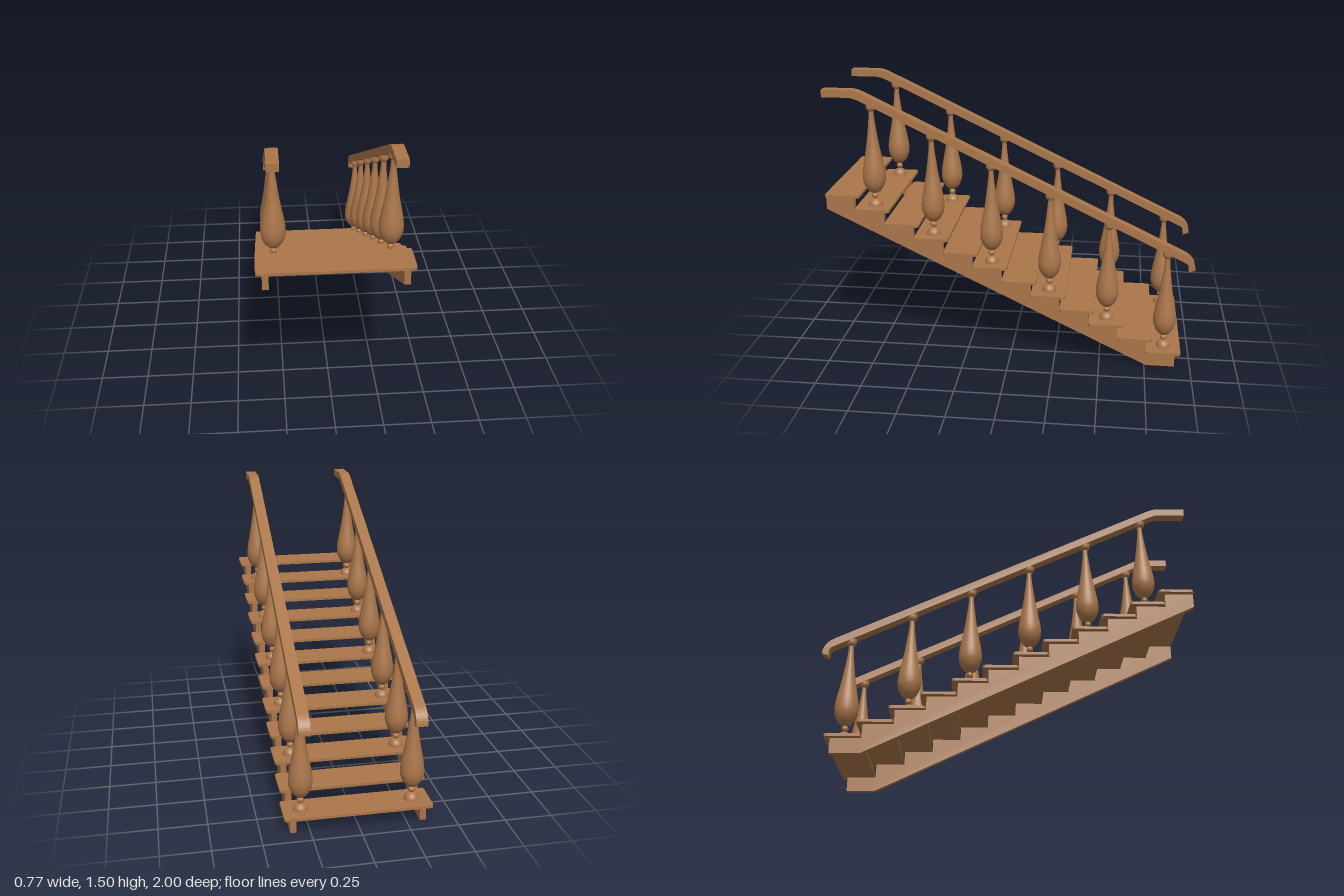
import * as THREE from 'three';

const STEPS = 12, RISE = 0.0768, RUN = 0.1595;

// Extrudes a side profile drawn in (z, y) along x, centred on x = 0
function extrudeSide(shape, width) {
  const g = new THREE.ExtrudeGeometry(shape, { depth: width, bevelEnabled: false, curveSegments: 8 });
  g.translate(0, 0, -width / 2);
  g.rotateY(-Math.PI / 2);
  return g;
}

// Thin board with rounded corners, top face at y = 0
function treadGeometry(w, d, t, r) {
  const x = w / 2, z = d / 2, s = new THREE.Shape();
  s.moveTo(-x + r, -z);
  s.lineTo(x - r, -z).quadraticCurveTo(x, -z, x, -z + r);
  s.lineTo(x, z - r).quadraticCurveTo(x, z, x - r, z);
  s.lineTo(-x + r, z).quadraticCurveTo(-x, z, -x, z - r);
  s.lineTo(-x, -z + r).quadraticCurveTo(-x, -z, -x + r, -z);
  const g = new THREE.ExtrudeGeometry(s, { depth: t, bevelEnabled: false, curveSegments: 4 });
  g.rotateX(Math.PI / 2);
  return g;
}

// Sawtooth side beam
function stringerGeometry() {
  const s = new THREE.Shape();
  s.moveTo(-0.76, 0);
  s.lineTo(1, 0.85);
  for (let i = STEPS - 1; i >= 0; i--) {
    const y = 0.08 + RISE * i;
    s.lineTo(i === STEPS - 1 ? 1 : -0.915 + 0.16 * (i + 1), y);
    s.lineTo(-0.915 + 0.16 * i, y);
  }
  s.lineTo(-0.915, 0);
  return extrudeSide(s, 0.032);
}

// Handrail: level at the top, sloping, then hooked down at the foot
function railGeometry() {
  const top = z => 1.105 + 0.481 * z, low = z => 1.06 + 0.481 * z;
  const s = new THREE.Shape();
  s.moveTo(1, 1.46);
  s.lineTo(1, 1.5);
  s.lineTo(0.85, 1.5);
  s.quadraticCurveTo(0.821, 1.5, 0.78, top(0.78));
  s.lineTo(-0.935, top(-0.935));
  s.quadraticCurveTo(-1, 0.625, -1, 0.565);
  s.lineTo(-0.965, 0.553);
  s.lineTo(-0.965, 0.58);
  s.quadraticCurveTo(-0.965, 0.598, -0.925, low(-0.925));
  s.lineTo(0.79, low(0.79));
  s.quadraticCurveTo(0.832, 1.46, 0.86, 1.46);
  return extrudeSide(s, 0.06);
}

// Turned teardrop body
function bodyGeometry() {
  const curve = new THREE.SplineCurve([
    [0.001, 0.07], [0.022, 0.075], [0.045, 0.1], [0.059, 0.135], [0.062, 0.168], [0.058, 0.21],
    [0.047, 0.27], [0.035, 0.335], [0.023, 0.42], [0.015, 0.49], [0.012, 0.545],
  ].map(p => new THREE.Vector2(...p)));
  return new THREE.LatheGeometry(curve.getPoints(36), 28);
}

export function createModel() {
  const wood = new THREE.MeshStandardMaterial({ color: 0xaa764a });
  wood.name = 'wood';
  const model = new THREE.Group();
  model.name = 'staircase';
  const add = (parent, name, geometry, x = 0, y = 0, z = 0) => {
    const m = new THREE.Mesh(geometry, wood);
    m.name = name;
    m.position.set(x, y, z);
    parent.add(m);
    return m;
  };

  // Treads
  const tread = treadGeometry(0.766, 0.19, 0.015, 0.018);
  for (let i = 0; i < STEPS; i++) add(model, 'tread', tread, 0, 0.095 + RISE * i, -0.85 + RUN * i);

  // Shared baluster parts
  const foot = new THREE.SphereGeometry(0.039, 24, 10, 0, Math.PI * 2, 0, Math.PI / 2);
  const bead = new THREE.SphereGeometry(0.018, 16, 12);
  const body = bodyGeometry();
  const knob = new THREE.SphereGeometry(0.027, 20, 14);
  const collar = new THREE.CylinderGeometry(0.027, 0.027, 0.028, 20);
  const stringer = stringerGeometry(), rail = railGeometry();

  for (const side of [-1, 1]) {
    add(model, 'stringer', stringer, side * 0.336);
    add(model, 'handrail', rail, side * 0.289);

    // One baluster on every second tread
    for (let i = 0; i < STEPS; i += 2) {
      const b = new THREE.Group();
      b.name = 'baluster';
      b.position.set(side * 0.289, 0.095 + RISE * i, -0.852 + RUN * i);
      add(b, 'foot', foot);
      add(b, 'bead', bead, 0, 0.055);
      add(b, 'body', body);
      add(b, 'knob', knob, 0, 0.547);
      add(b, 'collar', collar, 0, 0.561);
      model.add(b);
    }
  }
  return model;
}
